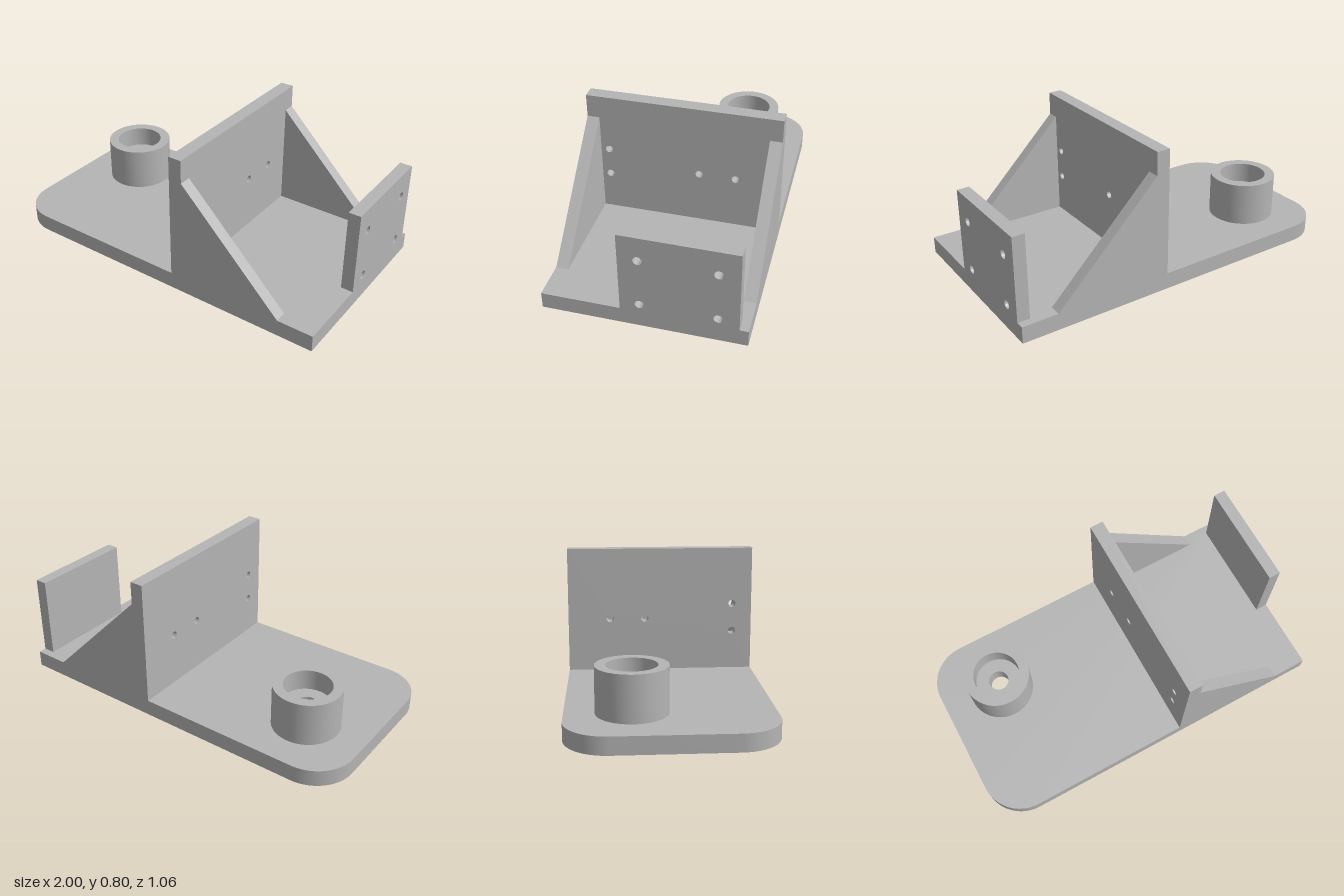
import * as THREE from 'three';
import { toCreasedNormals } from 'three/addons/utils/BufferGeometryUtils.js';

const HALF = 0.53;        // half depth of the bracket
const BASE = 0.092;       // base thickness
const BOSS = { x: -0.655, z: -0.19, outer: 0.185, bore: 0.13, hole: 0.055, top: 0.335 };

export function createModel() {
  const model = new THREE.Group();
  model.name = 'mountingBracket';
  const grey = new THREE.MeshStandardMaterial({ color: 0xb4b4b4 });
  grey.name = 'machinedGrey';

  const add = (name, geometry, x = 0, y = 0, z = 0) => {
    const mesh = new THREE.Mesh(toCreasedNormals(geometry, 0.6), grey);
    mesh.name = name;
    mesh.position.set(x, y, z);
    model.add(mesh);
    return mesh;
  };
  const extrude = (shape, depth) =>
    new THREE.ExtrudeGeometry(shape, { depth, bevelEnabled: false, curveSegments: 24 });
  const polygon = (points) => new THREE.Shape(points.map(([x, y]) => new THREE.Vector2(x, y)));
  const drill = (shape, x, y, r) => {
    const hole = new THREE.Path();
    hole.absarc(x, y, r, 0, Math.PI * 2, true);
    shape.holes.push(hole);
  };
  // Upright slab across z, with holes given as [z, y]
  const slab = (z0, z1, y0, y1, thickness, holes, r) => {
    const shape = polygon([[-z1, y0], [-z0, y0], [-z0, y1], [-z1, y1]]);
    holes.forEach(([z, y]) => drill(shape, -z, y, r));
    return extrude(shape, thickness).rotateY(Math.PI / 2);
  };

  // Base plate with two rounded corners and the boss opening
  const R = 0.225;
  const base = new THREE.Shape();
  base.moveTo(1, -HALF);
  base.lineTo(1, HALF);
  base.lineTo(-1 + R, HALF);
  base.absarc(-1 + R, HALF - R, R, Math.PI / 2, Math.PI, false);
  base.lineTo(-1, -HALF + R);
  base.absarc(-1 + R, -HALF + R, R, Math.PI, Math.PI * 1.5, false);
  base.closePath();
  drill(base, BOSS.x, -BOSS.z, BOSS.bore);
  add('basePlate', extrude(base, BASE).rotateX(-Math.PI / 2));

  // Hollow boss, counterbored from both ends with a thin web between
  const profile = [
    [BOSS.outer, BASE], [BOSS.outer, BOSS.top], [BOSS.bore, BOSS.top], [BOSS.bore, 0.22],
    [BOSS.hole, 0.22], [BOSS.hole, 0.12], [BOSS.bore, 0.12], [BOSS.bore, 0],
  ].map(([r, y]) => new THREE.Vector2(r, y));
  add('boss', new THREE.LatheGeometry(profile, 64), BOSS.x, 0, BOSS.z);

  // Tall cross wall with four through holes
  const wallHoles = [[0.418, 0.475], [0.418, 0.315], [-0.09, 0.395], [-0.29, 0.395]];
  add('crossWall', slab(-HALF, HALF, BASE, 0.8, 0.075, wallHoles, 0.021), 0.145);

  // Triangular gussets bracing the wall on both sides
  const T = 0.067;
  const gusset = polygon([[0.22, BASE], [0.8, BASE], [0.22, 0.672]]);
  add('frontGusset', extrude(gusset, T), 0, 0, HALF - T);
  add('backGusset', extrude(gusset, T), 0, 0, -HALF);

  // End plate with four blind holes opening outward
  const endHoles = [];
  for (const z of [0.013, -0.38]) for (const y of [0.14, 0.418]) endHoles.push([z, y]);
  add('endPlateBacking', slab(-0.485, 0.115, BASE, 0.555, 0.017, [], 0), 0.932);
  add('endPlate', slab(-0.485, 0.115, BASE, 0.555, 0.051, endHoles, 0.024), 0.949);

  return model;
}
